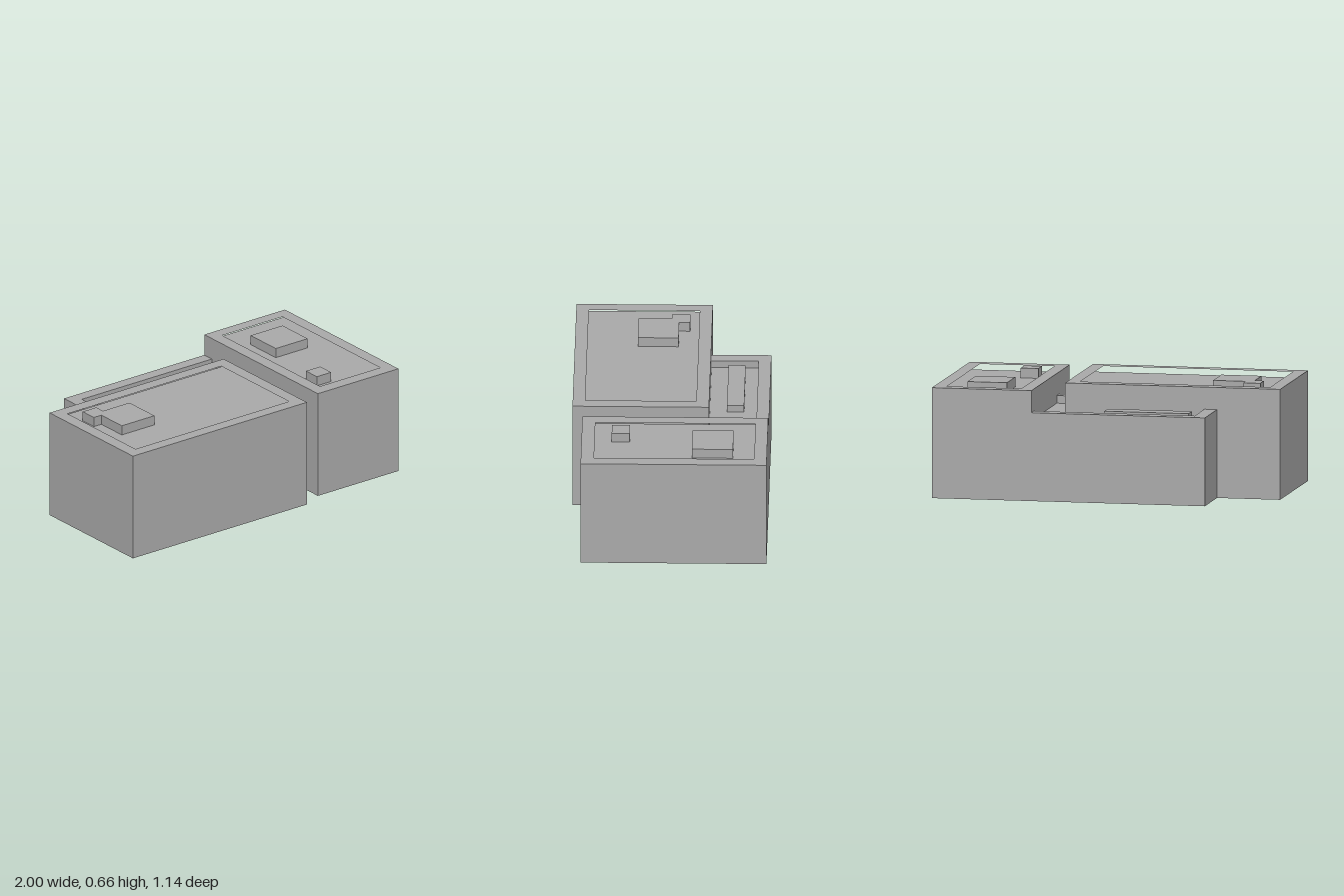
import * as THREE from 'three';

const concrete = new THREE.MeshStandardMaterial({ color: 0xa9a9a9 });
concrete.name = 'concrete grey';

// Corners of a rectangle in plan, as [x, z]
const rect = (x0, x1, z0, z1) => [[x0, z0], [x1, z0], [x1, z1], [x0, z1]];

// Upright prism from a plan outline, with an optional hole
function prism(name, plan, y0, y1, hole) {
  const toPoints = (p) => p.map(([x, z]) => new THREE.Vector2(x, -z));
  const shape = new THREE.Shape(toPoints(plan));
  if (hole) shape.holes.push(new THREE.Path(toPoints(hole)));
  const geometry = new THREE.ExtrudeGeometry(shape, { depth: y1 - y0, bevelEnabled: false });
  geometry.rotateX(-Math.PI / 2).translate(0, y0, 0);
  const mesh = new THREE.Mesh(geometry, concrete);
  mesh.name = name;
  return mesh;
}

// Block with a sunken flat roof inside a parapet
function building(name, plan, roof, top, hole) {
  const group = new THREE.Group();
  group.name = name;
  group.add(prism('walls', plan, 0, roof), prism('parapet', plan, roof, top, hole));
  return group;
}

export function createModel() {
  const model = new THREE.Group();
  model.name = 'buildingBlock';
  const TOP = 0.65, ROOF = 0.605, LOW_TOP = 0.52, LOW_ROOF = 0.475, UNIT_TOP = 0.663;

  // Wide front block, with a stepped roof unit
  const frontBlock = building('frontBlock', rect(-1, 0.28, -0.225, 0.57), ROOF, TOP,
    rect(-0.925, 0.205, -0.15, 0.497));
  frontBlock.add(prism('steppedRoofUnit', [
    [-0.855, -0.097], [-0.755, -0.097], [-0.755, -0.033], [-0.56, -0.033],
    [-0.56, 0.205], [-0.8, 0.205], [-0.8, 0.01], [-0.855, 0.01],
  ], ROOF, UNIT_TOP));

  // Long side block, with two roof units
  const sideBlock = building('sideBlock', rect(0.407, 1, -0.573, 0.51), ROOF, TOP,
    rect(0.482, 0.925, -0.5, 0.433));
  sideBlock.add(
    prism('largeRoofUnit', rect(0.595, 0.83, -0.375, -0.135), ROOF, UNIT_TOP),
    prism('smallRoofUnit', rect(0.535, 0.64, 0.23, 0.335), ROOF, UNIT_TOP));

  // Lower block behind and between the others; parapet only on its open sides
  const linkBlock = new THREE.Group();
  linkBlock.name = 'linkBlock';
  linkBlock.add(
    prism('walls', [
      [-0.625, -0.573], [0.407, -0.573], [0.407, 0.22],
      [0.28, 0.22], [0.28, -0.225], [-0.625, -0.225],
    ], 0, LOW_ROOF),
    prism('rearParapet', [
      [-0.625, -0.573], [0.407, -0.573], [0.407, -0.5],
      [-0.55, -0.5], [-0.55, -0.225], [-0.625, -0.225],
    ], LOW_ROOF, LOW_TOP),
    prism('frontParapet', rect(0.28, 0.407, 0.145, 0.22), LOW_ROOF, LOW_TOP),
    prism('longRoofUnit', rect(-0.497, 0.005, -0.425, -0.325), LOW_ROOF, LOW_TOP));

  model.add(frontBlock, sideBlock, linkBlock);
  return model;
}
